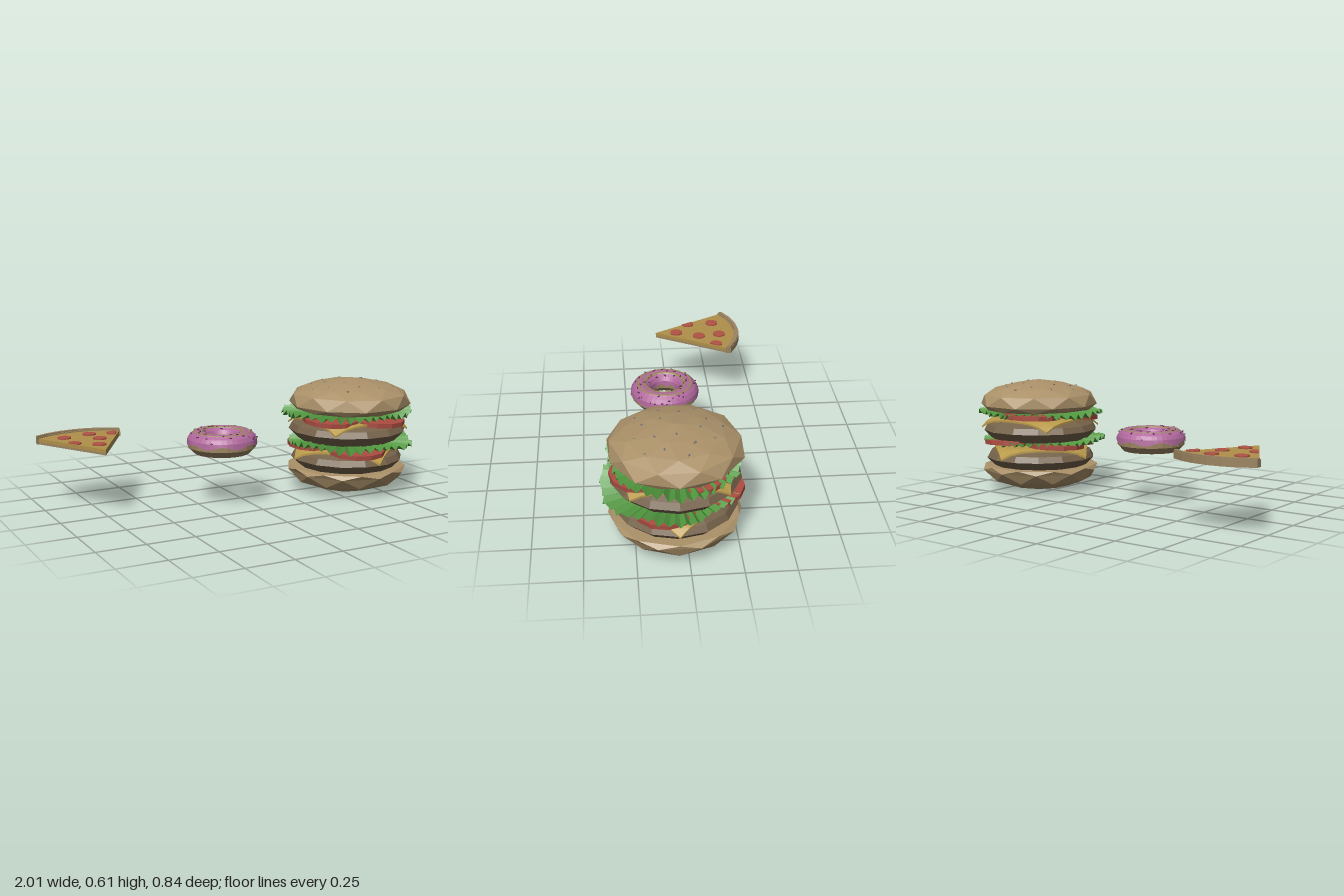
import * as THREE from 'three';

const COLORS = {
  bun: 0xab9169, patty: 0x75624a, cheese: 0xb8994a, tomato: 0xab4c41, lettuce: 0x52983f,
  seed: 0x77736c, dough: 0x9c8460, frosting: 0xb0689c, sprinkle: 0x5a3050,
  pizzaCheese: 0xb0904a, pepperoni: 0xb05344,
};
const materials = {};
for (const key in COLORS) {
  materials[key] = new THREE.MeshStandardMaterial({ color: COLORS[key], flatShading: true, side: THREE.DoubleSide });
}

function add(parent, name, geometry, material, x = 0, y = 0, z = 0) {
  const mesh = new THREE.Mesh(geometry, materials[material]);
  mesh.name = name;
  mesh.position.set(x, y, z);
  parent.add(mesh);
  return mesh;
}

function seeded(seed) {
  return () => (seed = (seed * 16807) % 2147483647) / 2147483647;
}

// Faceted round solid from [radius, y] rings, bottom to top; twist is in steps per ring
function loft(rings, sides, twist = 0, jitter = 0, seed = 7) {
  const rand = seeded(seed), pos = [], index = [];
  rings.forEach(([r, y], i) => {
    for (let j = 0; j < sides; j++) {
      const a = ((j + i * twist) / sides) * Math.PI * 2;
      const k = r * (1 + (rand() - 0.5) * jitter);
      const dy = r > 0 ? (rand() - 0.5) * jitter * 0.12 : 0;
      pos.push(k * Math.cos(a), y + dy, k * Math.sin(a));
    }
  });
  for (let i = 0; i < rings.length - 1; i++) {
    for (let j = 0; j < sides; j++) {
      const a = i * sides + j, b = i * sides + ((j + 1) % sides);
      index.push(a, a + sides, b, b, a + sides, b + sides);
    }
  }
  const g = new THREE.BufferGeometry();
  g.setAttribute('position', new THREE.Float32BufferAttribute(pos, 3));
  g.setIndex(index);
  const flat = g.toNonIndexed();
  flat.computeVertexNormals();
  return flat;
}

// Square slice whose corners droop over the patty
function cheeseSlice() {
  const g = new THREE.BoxGeometry(0.54, 0.01, 0.54, 8, 1, 8);
  const p = g.attributes.position;
  for (let i = 0; i < p.count; i++) {
    const x = p.getX(i), z = p.getZ(i), r = Math.hypot(x, z);
    const e = Math.max(0, r - 0.24);
    const k = e > 0 ? (0.24 + e * 0.64) / r : 1;
    p.setXYZ(i, x * k, p.getY(i) - 2.5 * e * e, z * k);
  }
  g.computeVertexNormals();
  return g;
}

// Ruffled sheet of leaves with a lobed, pleated rim
function lettuceLayer(reach, seed) {
  const rand = seeded(seed), n = 84, pos = [], index = [];
  for (let j = 0; j < n; j++) {
    const a = (j / n) * Math.PI * 2, fold = j % 2 ? 1 : -1;
    const rim = reach(a) - rand() * 0.025;
    const lift = fold * (0.008 + rand() * 0.01) + 0.006 * Math.sin(5 * a);
    [[0.1, 0], [0.24, lift * 0.6], [rim, lift]].forEach(([r, y]) => pos.push(r * Math.cos(a), y, r * Math.sin(a)));
    const b = j * 3, c = ((j + 1) % n) * 3;
    for (let k = 0; k < 2; k++) index.push(b + k, c + k, b + k + 1, c + k, c + k + 1, b + k + 1);
  }
  const g = new THREE.BufferGeometry();
  g.setAttribute('position', new THREE.Float32BufferAttribute(pos, 3));
  g.setIndex(index);
  g.computeVertexNormals();
  return g;
}

function buildBurger() {
  const burger = new THREE.Group();
  burger.name = 'burger';
  burger.position.set(0.632, 0, 0.05);

  add(burger, 'bottomBun', loft([[0, 0.003], [0.165, 0.015], [0.285, 0.06], [0.325, 0.115], [0.32, 0.137], [0, 0.137]], 10, 0.5, 0.03), 'bun');

  // Two stacks of patty, cheese, tomato and lettuce
  const stacks = [
    { y: 0.13, r: 0.305, turn: Math.PI / 4, tomato: 0.3, reach: a => 0.348 + 0.03 * Math.sin(a) + 0.008 * Math.cos(6 * a) },
    { y: 0.287, r: 0.32, turn: 0.03, tomato: 1.1, reach: a => 0.35 + 0.022 * Math.cos(2 * a) + 0.008 * Math.cos(7 * a) },
  ];
  stacks.forEach(({ y, r, turn, tomato, reach }, i) => {
    add(burger, 'patty', loft([[0, y], [r - 0.05, y], [r, y + 0.051], [r - 0.018, y + 0.083], [r - 0.07, y + 0.107], [0, y + 0.108]], 14), 'patty');
    add(burger, 'cheeseSlice', cheeseSlice(), 'cheese', 0, y + 0.114, 0).rotation.y = turn;
    for (let k = 0; k < 4; k++) {
      const a = tomato + (k * Math.PI) / 2;
      const z = Math.sin(a) * 0.18;
      const slice = add(burger, 'tomatoSlice', new THREE.CylinderGeometry(0.158, 0.158, 0.024, 12), 'tomato',
        Math.cos(a) * 0.17, y + 0.127 - 0.07 * z + (k % 2) * 0.006, z);
      slice.rotation.set(0.06, k, 0.03 * (k % 2 ? 1 : -1));
    }
    add(burger, 'lettuce', lettuceLayer(reach, 31 + i * 50), 'lettuce', 0, y + 0.15, 0);
  });

  // Domed top bun
  const dome = [[0, 0.452], [0.295, 0.45], [0.328, 0.478], [0.308, 0.535], [0.24, 0.57], [0.135, 0.596], [0, 0.615]];
  add(burger, 'topBun', loft(dome, 10, 0.5, 0.04, 23), 'bun', 0.012, 0, 0.003);

  // Seeds set on the dome
  const heightAt = r => {
    const i = dome.findIndex((d, k) => k >= 3 && r <= d[0] && r >= dome[k + 1][0]);
    const [a, b] = [dome[i], dome[i + 1]];
    return a[1] + ((a[0] - r) / (a[0] - b[0])) * (b[1] - a[1]);
  };
  const rand = seeded(11);
  for (let k = 0; k < 18; k++) {
    const r = 0.04 + 0.2 * Math.sqrt((k + 0.5) / 18), a = k * 2.4;
    const seed = add(burger, 'seed', new THREE.SphereGeometry(0.011, 6, 4), 'seed',
      0.012 + r * Math.cos(a), heightAt(Math.min(0.3, r * 1.04)), r * Math.sin(a));
    seed.scale.set(1, 0.4, 0.55);
    seed.rotation.y = rand() * 6.28;
  }
  return burger;
}

function buildDonut() {
  const donut = new THREE.Group();
  donut.name = 'donut';
  donut.position.set(-0.135, 0.338, 0.05);
  const R = 0.125;
  const arc = (tube, from, to, n) => Array.from({ length: n + 1 }, (_, i) => {
    const t = from + ((to - from) * i) / n;
    return new THREE.Vector2(R + tube * Math.cos(t), tube * Math.sin(t));
  });
  add(donut, 'dough', new THREE.LatheGeometry(arc(0.056, Math.PI / 8, Math.PI * 2 + Math.PI / 8, 8), 20), 'dough').scale.y = 1.08;

  // Frosting with a wavy drip edge on both rims
  const frosting = new THREE.LatheGeometry(arc(0.058, -0.05, Math.PI + 0.05, 8), 40);
  const p = frosting.attributes.position;
  for (let i = 0; i < p.count; i++) {
    const y = p.getY(i), a = Math.atan2(p.getZ(i), p.getX(i));
    if (y < 0.01) p.setY(i, y + 0.008 * Math.sin(7 * a));
  }
  frosting.computeVertexNormals();
  add(donut, 'frosting', frosting, 'frosting');

  // Sprinkles scattered over the frosting
  const rand = seeded(91);
  for (let k = 0; k < 44; k++) {
    const a = k * 2.4, t = 0.35 + rand() * 2.2, r = R + 0.058 * Math.cos(t);
    const s = add(donut, 'sprinkle', new THREE.BoxGeometry(0.014, 0.005, 0.005), 'sprinkle',
      r * Math.cos(a), 0.058 * Math.sin(t), r * Math.sin(a));
    s.rotation.set(0, rand() * 6.28, (rand() - 0.5) * 0.6);
  }
  return donut;
}

function buildPizza() {
  const pizza = new THREE.Group();
  pizza.name = 'pizzaSlice';
  pizza.position.set(-0.775, 0, 0);
  // Plan shapes use (x, -z)
  const rim = inset => Array.from({ length: 7 }, (_, i) => {
    const t = 0.602 * (i / 3 - 1);
    return new THREE.Vector2(0.397 * Math.sin(t), 0.033 + 0.397 * Math.cos(t) - inset);
  });
  const slab = (points, y0, y1) => new THREE.ExtrudeGeometry(new THREE.Shape(points), { depth: y1 - y0, bevelEnabled: false })
    .rotateX(-Math.PI / 2).translate(0, y0, 0);
  const tip = new THREE.Vector2(0, -0.06);
  add(pizza, 'base', slab([tip, ...rim(0.02).reverse()], 0.334, 0.345), 'dough');
  add(pizza, 'cheese', slab([tip, ...rim(0.02).reverse()], 0.345, 0.363), 'pizzaCheese');

  // Raised crust with a sloped inner edge
  add(pizza, 'crust', slab([...rim(0), ...rim(0.032).reverse()], 0.333, 0.368), 'dough');
  add(pizza, 'crustTop', slab([...rim(0.004), ...rim(0.023).reverse()], 0.368, 0.375), 'dough');

  // Pepperoni, trimmed where it meets the cut sides
  const spots = [[-0.1, -0.28], [0.045, -0.31], [0.06, -0.19], [-0.095, -0.135], [0.01, -0.06], [0.168, -0.28]];
  for (const [cx, cz] of spots) {
    const outline = Array.from({ length: 14 }, (_, i) => {
      const a = (i / 14) * Math.PI * 2, z = cz + 0.035 * Math.sin(a);
      const half = (0.225 * (0.06 - z)) / 0.42;
      return new THREE.Vector2(THREE.MathUtils.clamp(cx + 0.035 * Math.cos(a), -half, half), -z);
    });
    add(pizza, 'pepperoni', slab(outline, 0.36, 0.37), 'pepperoni');
  }
  return pizza;
}

export function createModel() {
  const model = new THREE.Group();
  model.name = 'fastFood';
  model.add(buildBurger(), buildDonut(), buildPizza());
  return model;
}
